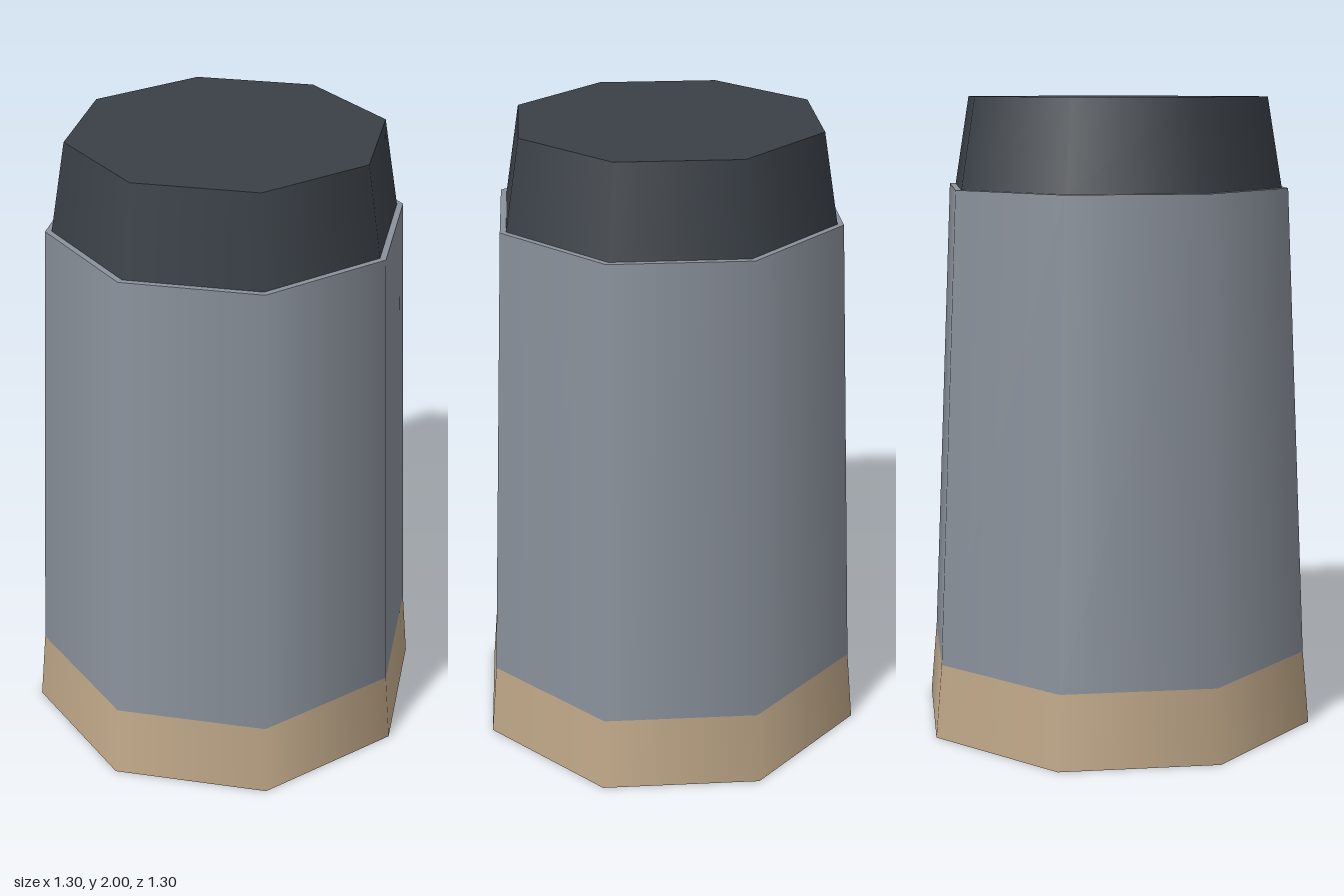
import * as THREE from 'three';

const material = (name, color) => {
  const m = new THREE.MeshStandardMaterial({ color });
  m.name = name;
  return m;
};

export function createModel() {
  const group = new THREE.Group();
  group.name = 'taperedPost';

  const tan = material('tan', 0xbfa788);
  const grey = material('grey', 0x8a919b);
  const charcoal = material('charcoal', 0x3a4047);

  // Tapered eight-sided section, smooth around its sides, corners on the axes
  const section = (name, mat, bottomRadius, topRadius, y0, y1) => {
    const geometry = new THREE.CylinderGeometry(topRadius, bottomRadius, y1 - y0, 8);
    const mesh = new THREE.Mesh(geometry, mat);
    mesh.name = name;
    mesh.position.y = (y0 + y1) / 2;
    group.add(mesh);
  };

  section('baseBand', tan, 0.65, 0.628, 0, 0.235);
  section('body', grey, 0.628, 0.557, 0.235, 1.72);
  section('cap', charcoal, 0.537, 0.489, 1.72, 2);

  return group;
}
